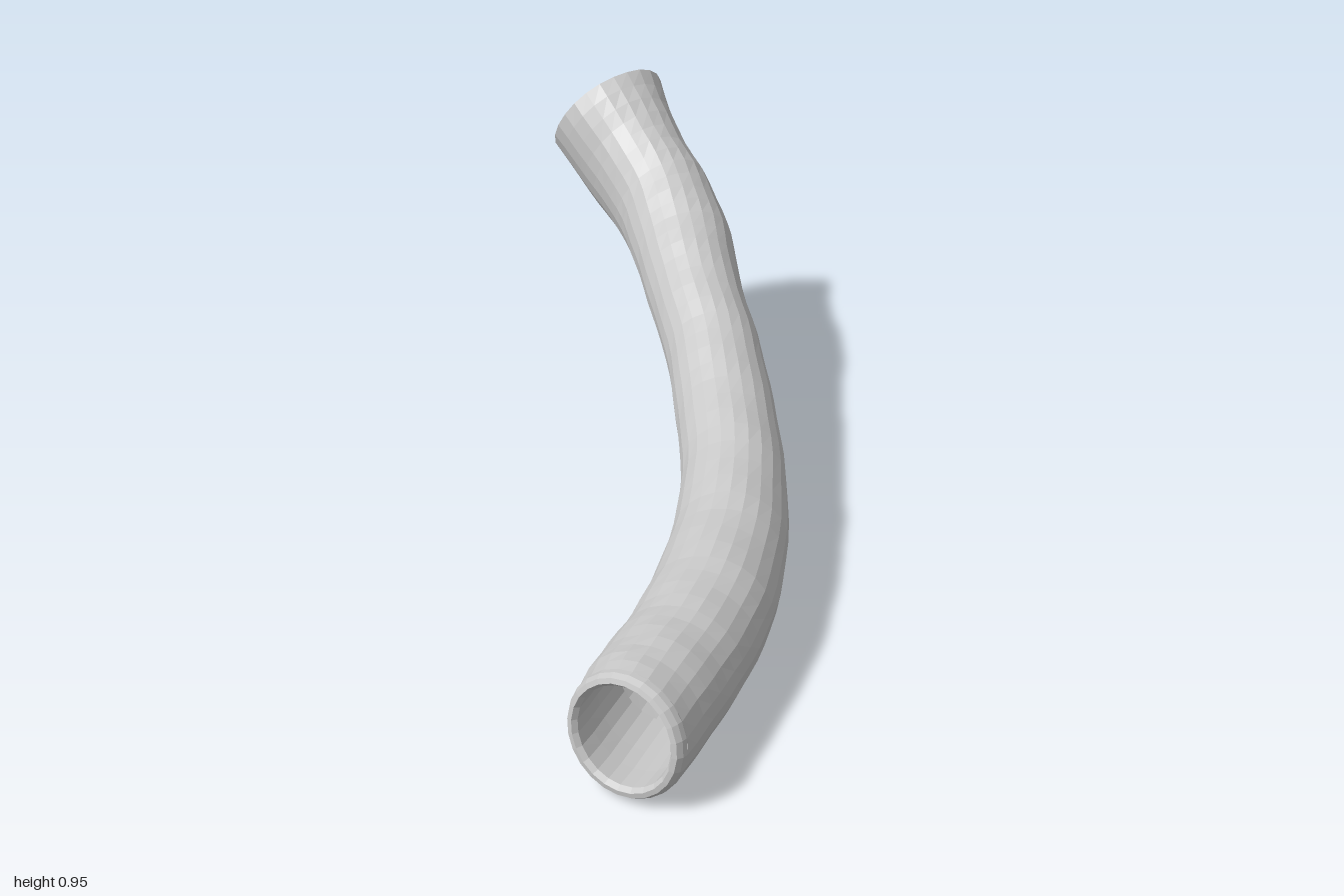
import * as THREE from 'three';

const SIDES = 24;
const UP = new THREE.Vector3(0, 1, 0);

// Skin a run of rings; each ring is { c: centre, n: direction, w: half width, h: half height }
function loft(rings, material, name, ripple = 0) {
  const pos = [], index = [];
  rings.forEach(({ c, n, w, h }, i) => {
    const side = new THREE.Vector3().crossVectors(n, UP).normalize();
    const up = new THREE.Vector3().crossVectors(side, n).normalize();
    for (let j = 0; j < SIDES; j++) {
      const a = (j / SIDES) * Math.PI * 2;
      // gentle cloth creases, strongest on top
      const fold = 1 + ripple * Math.sin(i * 1.7 + 2 * Math.sin(a * 2)) * (0.5 + 0.5 * Math.sin(a));
      const p = c.clone()
        .addScaledVector(side, Math.cos(a) * w * fold)
        .addScaledVector(up, Math.sin(a) * h * fold);
      pos.push(p.x, p.y, p.z);
      if (i < rings.length - 1) {
        const k = (j + 1) % SIDES, r = i * SIDES, s = r + SIDES;
        index.push(r + j, s + j, r + k, s + j, s + k, r + k);
      }
    }
  });
  const indexed = new THREE.BufferGeometry();
  indexed.setAttribute('position', new THREE.Float32BufferAttribute(pos, 3));
  indexed.setIndex(index);
  const geometry = indexed.toNonIndexed();
  geometry.computeVertexNormals();
  const mesh = new THREE.Mesh(geometry, material);
  mesh.name = name;
  return mesh;
}

export function createModel() {
  const group = new THREE.Group();
  group.name = 'sleeve';
  const cloth = new THREE.MeshStandardMaterial({ color: 0xc8c8c8, side: THREE.DoubleSide, flatShading: true });
  cloth.name = 'light grey cloth';

  // Centre x, y, z, half width, half height, from cuff to shoulder
  const rows = [
    [-0.80, 0.165, 0.845, 0.152, 0.153],
    [-0.66, 0.160, 0.775, 0.158, 0.153],
    [-0.50, 0.157, 0.700, 0.158, 0.152],
    [-0.32, 0.165, 0.600, 0.158, 0.153],
    [-0.10, 0.182, 0.440, 0.150, 0.152],
    [0.10, 0.230, 0.250, 0.139, 0.145],
    [0.25, 0.292, 0.060, 0.137, 0.139],
    [0.375, 0.370, -0.12, 0.133, 0.142],
    [0.475, 0.450, -0.30, 0.135, 0.149],
    [0.565, 0.525, -0.45, 0.147, 0.155],
    [0.630, 0.600, -0.61, 0.146, 0.172],
    [0.650, 0.685, -0.755, 0.152, 0.182],
    [0.670, 0.805, -0.903, 0.192, 0.178],
  ];
  const centres = rows.map(r => new THREE.Vector3(r[0], r[1], r[2]));
  const sizes = rows.map(r => new THREE.Vector3(r[3], r[4], 0));
  const last = rows.length - 1;
  const dirs = centres.map((_, i) =>
    centres[Math.min(i + 1, last)].clone().sub(centres[Math.max(i - 1, 0)]).normalize());
  const cuffDir = new THREE.Vector3(0.95, -0.12, -0.28).normalize();
  dirs[0].copy(cuffDir);
  dirs[last - 1].set(0.12, 0.48, -0.87).normalize();
  dirs[last].set(0.04, 0.53, -0.85).normalize();

  const path = new THREE.CatmullRomCurve3(centres);
  const sizePath = new THREE.CatmullRomCurve3(sizes, false, 'catmullrom');
  const dirPath = new THREE.CatmullRomCurve3(dirs, false, 'catmullrom');
  const sleeve = [];
  const STEPS = 44;
  for (let i = 0; i <= STEPS; i++) {
    const t = i / STEPS, s = sizePath.getPoint(t);
    sleeve.push({ c: path.getPoint(t), n: dirPath.getPoint(t).normalize(), w: s.x, h: s.y });
  }
  group.add(loft(sleeve, cloth, 'outerSleeve', 0.015));

  // Rolled cuff: from inside the tube, round the lip, back to the outer wall
  const lipRing = (offset, scale) => ({
    c: centres[0].clone().addScaledVector(cuffDir, offset), n: cuffDir, w: 0.152 * scale, h: 0.153 * scale,
  });
  const inner = [0.12, 0.06, 0.025].map(t => ({
    c: path.getPoint(t), n: dirPath.getPoint(t).normalize(), w: 0.122, h: 0.122,
  }));
  const cuff = [...inner, lipRing(-0.02, 0.8), lipRing(-0.033, 0.86), lipRing(-0.03, 0.94), lipRing(-0.015, 0.99), sleeve[0]];
  group.add(loft(cuff, cloth, 'rolledCuff'));
  return group;
}
